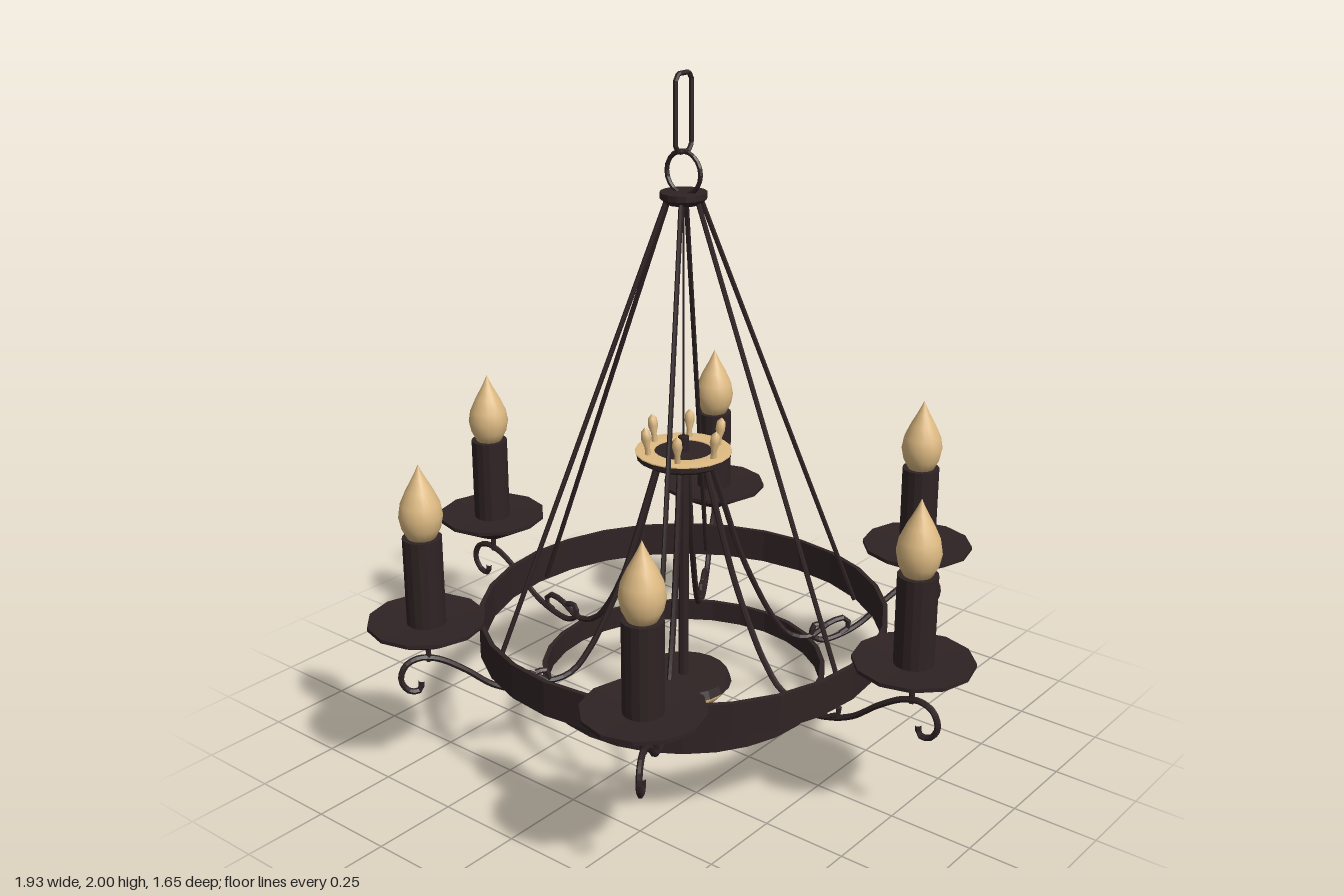
import * as THREE from 'three';

const iron = new THREE.MeshStandardMaterial({ color: 0x2f2324 });
iron.name = 'dark iron';
iron.flatShading = true;
const gold = new THREE.MeshStandardMaterial({ color: 0xdfbb83 });
gold.name = 'pale gold';

const v2 = (pts) => pts.map(([x, y]) => new THREE.Vector2(x, y));

function add(parent, name, geometry, material) {
  const mesh = new THREE.Mesh(geometry, material);
  mesh.name = name;
  parent.add(mesh);
  return mesh;
}

const lathe = (pts, sides) => new THREE.LatheGeometry(v2(pts), sides);

// Rectangular band around the y axis
function band(r, thick, y0, y1, sides) {
  const i = r - thick;
  return lathe([[r, y0], [r, y1], [i, y1], [i, y0], [r, y0]], sides);
}

// Bent iron bar in the xy plane
function bar(pts, radius, segments) {
  const curve = new THREE.CatmullRomCurve3(pts.map(([x, y]) => new THREE.Vector3(x, y, 0)));
  return new THREE.TubeGeometry(curve, segments, radius, 6);
}

// Straight rod between two points in the xy plane
function rod(x0, y0, x1, y1, radius) {
  const line = new THREE.LineCurve3(new THREE.Vector3(x0, y0, 0), new THREE.Vector3(x1, y1, 0));
  return new THREE.TubeGeometry(line, 1, radius, 6);
}

// One arm along +x: hanging rod, scrolls, drip dish, candle and bulb
function createArm(reach) {
  const arm = new THREE.Group();
  arm.name = 'arm';
  const k = reach / 0.795;
  const stretch = (pts) => pts.map(([x, y]) => [x * k, y]);

  add(arm, 'hangingRod', rod(0.05, 1.65, 0.56, 0.35, 0.007), iron);
  add(arm, 'outerScroll', bar(stretch([
    [0.82, 0.315], [0.825, 0.288], [0.855, 0.288], [0.88, 0.325], [0.865, 0.37], [0.825, 0.388],
    [0.77, 0.378], [0.69, 0.33], [0.61, 0.268], [0.54, 0.238], [0.47, 0.228],
    [0.435, 0.25], [0.445, 0.285], [0.475, 0.28],
  ]), 0.009, 44), iron);
  add(arm, 'innerScroll', bar(stretch([
    [0.08, 0.89], [0.125, 0.75], [0.185, 0.57], [0.25, 0.425], [0.3, 0.335], [0.36, 0.265],
    [0.43, 0.248], [0.5, 0.285], [0.55, 0.29], [0.565, 0.258], [0.535, 0.24],
  ]), 0.009, 36), iron);

  const holder = new THREE.Group();
  holder.name = 'candleHolder';
  holder.position.x = reach;
  arm.add(holder);
  add(holder, 'stem', rod(0, 0.375, 0, 0.45, 0.008), iron);
  add(holder, 'dripDish', lathe([
    [0, 0.43], [0.05, 0.435], [0.168, 0.497], [0.168, 0.508], [0.06, 0.5], [0, 0.5],
  ], 12), iron);
  const candle = add(holder, 'candle', new THREE.CylinderGeometry(0.056, 0.056, 0.26, 16), iron);
  candle.position.y = 0.63;
  add(holder, 'flameBulb', lathe([
    [0, 0.758], [0.04, 0.76], [0.055, 0.79], [0.062, 0.825], [0.056, 0.86],
    [0.038, 0.9], [0.019, 0.935], [0.009, 0.955], [0, 0.976],
  ], 16), gold);
  return arm;
}

export function createModel() {
  const model = new THREE.Group();
  model.name = 'chandelier';

  // Chain link, hanging loop and top cap
  const corners = [
    [-0.034, 1.8], [-0.022, 1.782], [0.022, 1.782], [0.034, 1.8],
    [0.034, 1.975], [0.022, 1.993], [-0.022, 1.993], [-0.034, 1.975],
  ].map(([z, y]) => new THREE.Vector3(0, y, z));
  const link = new THREE.CurvePath();
  corners.forEach((p, i) => link.add(new THREE.LineCurve3(p, corners[(i + 1) % 8])));
  add(model, 'chainLink', new THREE.TubeGeometry(link, 60, 0.007, 6, true), iron);
  const loop = add(model, 'hangingLoop', new THREE.TorusGeometry(0.059, 0.007, 6, 20), iron);
  loop.position.y = 1.724;
  add(model, 'topCap', lathe([
    [0, 1.64], [0.05, 1.64], [0.066, 1.655], [0.066, 1.672], [0, 1.672],
  ], 16), iron);

  // Central post
  add(model, 'thinRod', rod(0, 0.95, 0, 1.65, 0.003), iron);
  const post = add(model, 'centrePost', new THREE.CylinderGeometry(0.016, 0.016, 0.78, 10), iron);
  post.position.y = 0.57;

  // Crown plate with gilded rim and upright leaves
  add(model, 'crownPlate', lathe([
    [0, 0.885], [0.115, 0.885], [0.136, 0.898], [0.136, 0.915], [0, 0.915],
  ], 20), iron);
  add(model, 'crownRim', lathe([[0.14, 0.914], [0.14, 0.919], [0.085, 0.919], [0.085, 0.914]], 20), gold);
  for (let i = 0; i < 6; i++) {
    const a = (i * Math.PI) / 3;
    const pivot = new THREE.Group();
    pivot.name = 'crownLeaf';
    pivot.rotation.y = a;
    const leaf = add(pivot, 'leaf', lathe([
      [0.009, 0], [0.008, 0.025], [0.015, 0.05], [0.013, 0.072], [0, 0.085],
    ], 8), gold);
    leaf.position.set(0.108, 0.917, 0);
    leaf.rotation.z = -0.12;
    model.add(pivot);
  }

  // Hoops
  add(model, 'outerHoop', band(0.607, 0.014, 0.32, 0.424, 28), iron);
  add(model, 'innerHoop', band(0.425, 0.014, 0.17, 0.236, 28), iron);

  // Bottom plate and finial
  const plate = add(model, 'bottomPlate', new THREE.CylinderGeometry(0.135, 0.145, 0.025, 20), iron);
  plate.position.y = 0.185;
  add(model, 'finial', lathe([
    [0, 0], [0.007, 0.012], [0.015, 0.028], [0.008, 0.045], [0.022, 0.06], [0.055, 0.088],
    [0.1, 0.12], [0.128, 0.15], [0.142, 0.173], [0, 0.174],
  ], 20), gold);

  // Six arms: two across, four diagonal
  const diagonal = Math.atan2(0.657, 0.4);
  for (const a of [0, diagonal, Math.PI - diagonal, Math.PI, Math.PI + diagonal, -diagonal]) {
    const across = Math.abs(Math.sin(a)) < 0.1;
    const arm = createArm(across ? 0.795 : 0.769);
    arm.rotation.y = a;
    model.add(arm);
  }
  return model;
}
